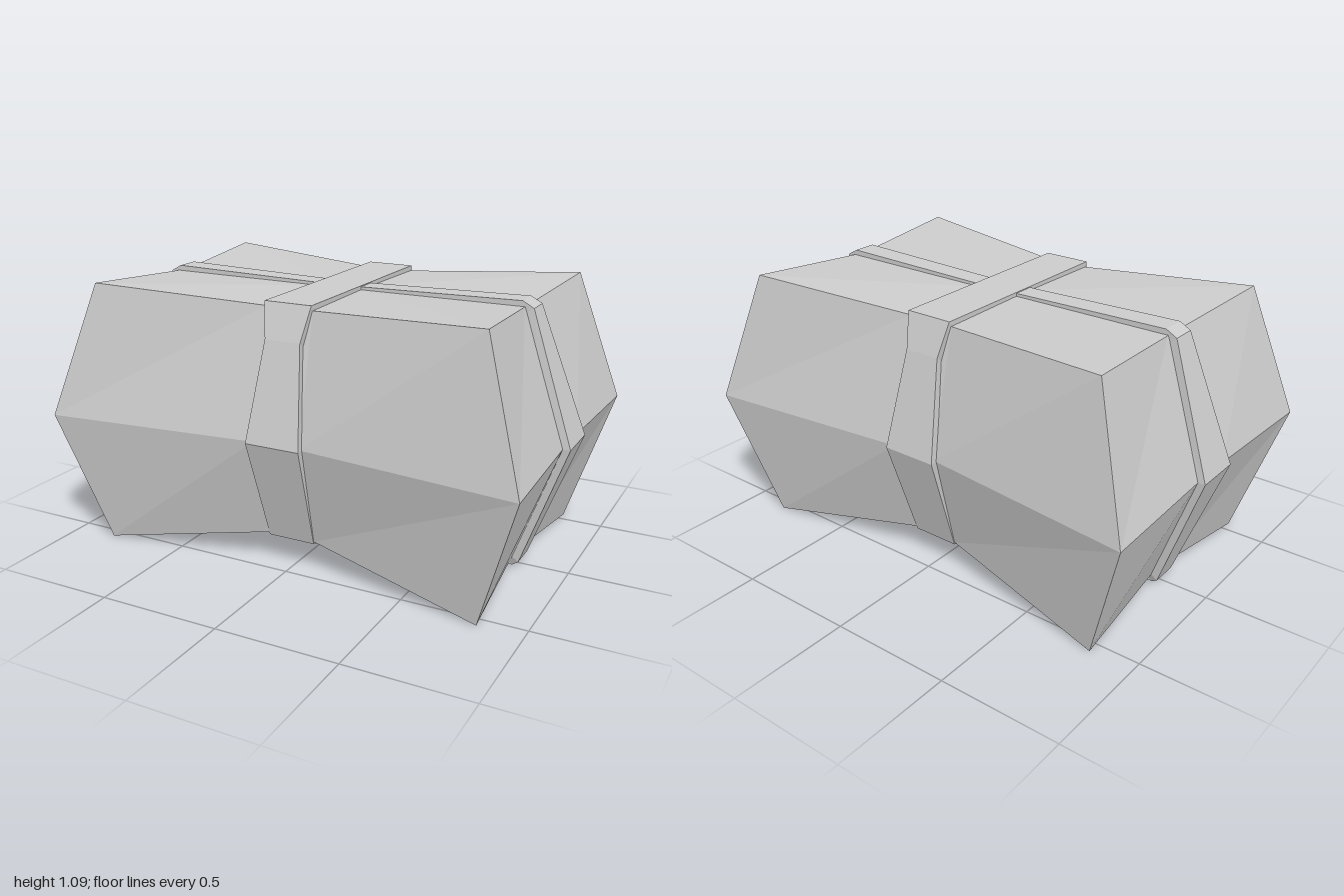
import * as THREE from 'three';

const material = new THREE.MeshStandardMaterial({ color: 0xcccccc, flatShading: true });

// Collects quads (counter-clockwise from outside) into one flat-shaded mesh
function quadMesh(name, quads) {
  const pos = [];
  for (const [a, b, c, d] of quads) for (const p of [a, b, c, a, c, d]) pos.push(...p);
  const g = new THREE.BufferGeometry();
  g.setAttribute('position', new THREE.Float32BufferAttribute(pos, 3));
  g.computeVertexNormals();
  const mesh = new THREE.Mesh(g, material);
  mesh.name = name;
  return mesh;
}

// One quadrant of each level: outer corner, beside the side strap, beside the end strap, centre
const LEVELS = {
  top: { corner: [0.82, 1.093, 0.55], side: [0.1, 1.055, 0.44], end: [0.78, 1.063, 0.055], centre: [0.1, 1.06, 0.05] },
  mid: { corner: [0.99, 0.55, 0.66], side: [0.1, 0.55, 0.56], end: [0.97, 0.55, 0.1] },
  bottom: { corner: [0.82, 0, 0.55], side: [0.1, 0.13, 0.45], end: [0.78, 0.04, 0.06], centre: [0.1, 0.03, 0.05] },
};

// Point of the 4 x 4 grid at a level, mirrored into all quadrants
function bundlePoint(level, i, j) {
  const outerX = i === 0 || i === 3, outerZ = j === 0 || j === 3;
  const kind = outerX ? (outerZ ? 'corner' : 'end') : (outerZ ? 'side' : 'centre');
  const [x, y, z] = LEVELS[level][kind];
  return [i < 2 ? -x : x, y, j < 2 ? -z : z];
}

function createBundle() {
  const quads = [];
  // top and bottom caps, folded from corner to centre
  for (let i = 0; i < 3; i++) for (let j = 0; j < 3; j++) {
    for (const level of ['top', 'bottom']) {
      const q = [[i, j], [i, j + 1], [i + 1, j + 1], [i + 1, j]].map(([a, b]) => bundlePoint(level, a, b));
      if ((i - 1) * (j - 1) < 0) q.push(q.shift());
      if (level === 'bottom') q.reverse();
      if (level === 'bottom' && (i - 1) * (j - 1) !== 0) q.push(q.shift(), q.shift());
      quads.push(q);
    }
  }
  // sloping walls: walk round the rim, front first
  const rim = [];
  for (let k = 0; k < 3; k++) rim.push([k, 3]);
  for (let k = 3; k > 0; k--) rim.push([3, k]);
  for (let k = 3; k > 0; k--) rim.push([k, 0]);
  for (let k = 0; k < 3; k++) rim.push([0, k]);
  rim.forEach((a, k) => {
    const b = rim[(k + 1) % rim.length];
    for (const [lo, hi] of [['bottom', 'mid'], ['mid', 'top']]) {
      quads.push([bundlePoint(lo, ...a), bundlePoint(lo, ...b), bundlePoint(hi, ...b), bundlePoint(hi, ...a)]);
    }
  });
  return quadMesh('bundle', quads);
}

// Closed strap from a half profile of [radius, height, half width], top to bottom
function createStrap(name, half) {
  const loop = [...half, ...half.map(([r, y, w]) => [-r, y, w]).reverse()];
  const outer = ([r, y, w], s) => [r, y, s * w];
  const inner = ([r, y, w], s) => [r * 0.9, 0.55 + (y - 0.55) * 0.9, s * w];
  const quads = [];
  loop.forEach((p, k) => {
    const q = loop[(k + 1) % loop.length];
    quads.push([outer(p, -1), outer(p, 1), outer(q, 1), outer(q, -1)]);
    quads.push([outer(p, 1), inner(p, 1), inner(q, 1), outer(q, 1)]);
    quads.push([outer(p, -1), outer(q, -1), inner(q, -1), inner(p, -1)]);
  });
  return quadMesh(name, quads);
}

export function createModel() {
  const group = new THREE.Group();
  group.name = 'strappedBundle';
  group.add(createBundle());

  // strap running lengthwise over the ends
  group.add(createStrap('longStrap', [
    [0.1, 1.072, 0.045], [0.77, 1.085, 0.05], [0.815, 1.06, 0.05], [1, 0.55, 0.1],
    [0.81, 0.03, 0.055], [0.78, 0.006, 0.04], [0.1, 0.014, 0.05],
  ]));

  // strap running across the pinched waist
  const crossStrap = createStrap('crossStrap', [
    [0.45, 1.076, 0.1], [0.495, 0.94, 0.075], [0.59, 0.55, 0.115], [0.45, 0.12, 0.1], [0.05, 0.01, 0.1],
  ]);
  crossStrap.rotation.y = Math.PI / 2;
  group.add(crossStrap);
  return group;
}
